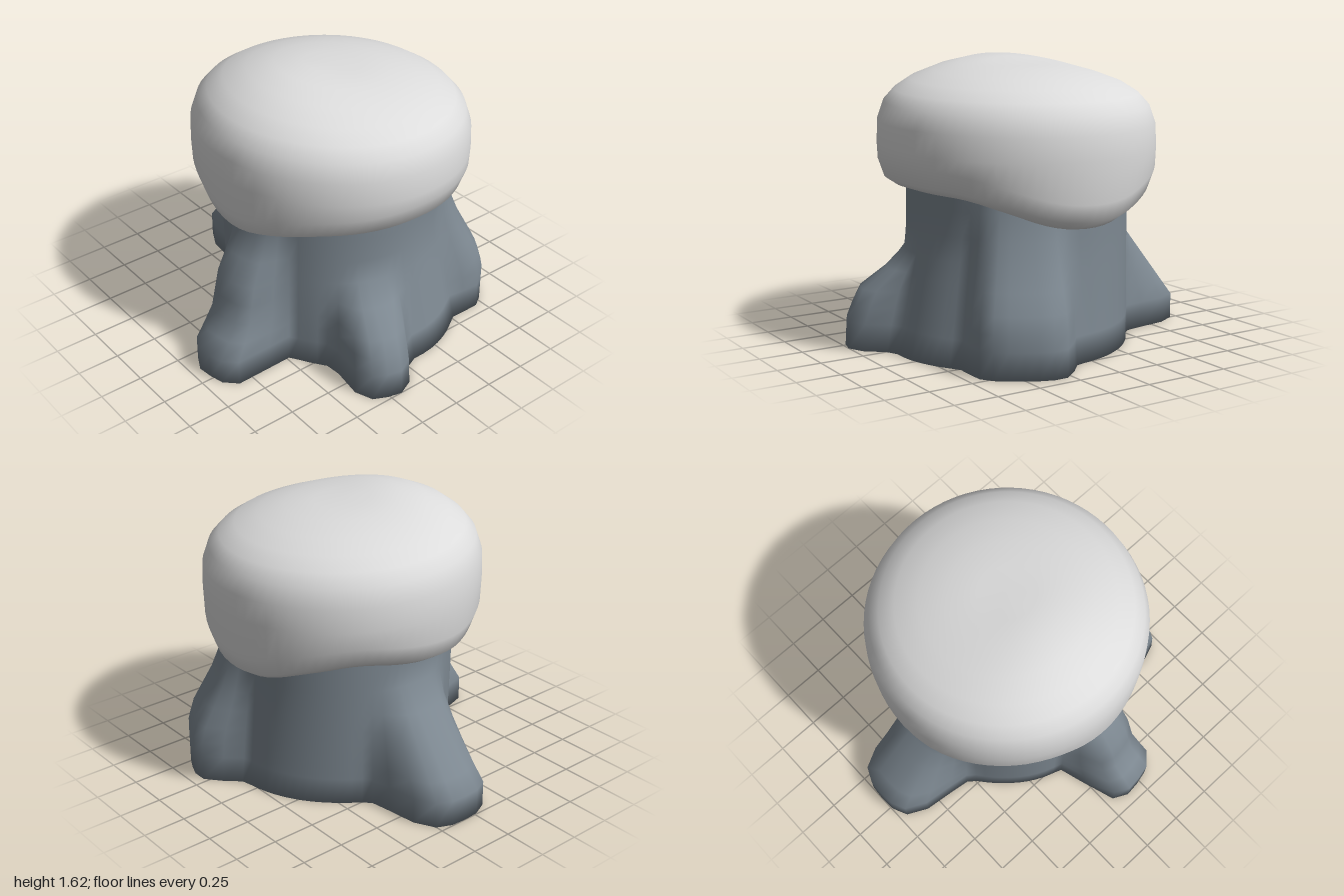
import * as THREE from 'three';

const CX = 0.05, CZ = -0.075, SEG = 72;
const DEG = Math.PI / 180;

// piecewise linear lookup in [[key, value], ...]
function lerpTable(table, k) {
  if (k <= table[0][0]) return table[0][1];
  for (let i = 1; i < table.length; i++) {
    const [k0, v0] = table[i - 1], [k1, v1] = table[i];
    if (k <= k1) return v0 + (v1 - v0) * (k - k0) / (k1 - k0);
  }
  return table[table.length - 1][1];
}

// lookup around the circle, softened over a few degrees
function around(table, a, soft) {
  return [-soft, 0, soft].reduce((t, o) => t + lerpTable(table, (a / DEG + o + 360) % 360) / 3, 0);
}

// smooth skin over closed rings, listed bottom to top; point(row, angle) -> [x, y, z]
function loft(rows, point, bottom, top) {
  const pos = [], idx = [];
  for (let r = 0; r < rows; r++)
    for (let s = 0; s < SEG; s++) pos.push(...point(r, s / SEG * Math.PI * 2));
  for (let r = 0; r < rows - 1; r++)
    for (let s = 0; s < SEG; s++) {
      const a = r * SEG + s, b = r * SEG + (s + 1) % SEG;
      idx.push(a, a + SEG, b, b, a + SEG, b + SEG);
    }
  if (bottom) {
    const c = pos.length / 3;
    pos.push(...bottom);
    for (let s = 0; s < SEG; s++) idx.push(c, s, (s + 1) % SEG);
  }
  if (top) {
    const c = pos.length / 3, last = (rows - 1) * SEG;
    pos.push(...top);
    for (let s = 0; s < SEG; s++) idx.push(last + s, c, last + (s + 1) % SEG);
  }
  const g = new THREE.BufferGeometry();
  g.setAttribute('position', new THREE.Float32BufferAttribute(pos, 3));
  g.setIndex(idx);
  g.computeVertexNormals();
  return g;
}

// roots: direction, angular half width, bluntness, reach at each height
const roots = [
  { angle: 180, width: 0.33, blunt: 4, reach: [[0, 1.05], [0.15, 1.05], [0.67, 0.63]] },
  { angle: 80, width: 0.26, blunt: 5, reach: [[0, 1.02], [0.15, 1.02], [0.32, 0.89], [0.55, 0.83], [0.85, 0.66]] },
  { angle: 20, width: 0.23, blunt: 4, reach: [[0, 0.99], [0.17, 0.98], [0.33, 0.9], [0.47, 0.71], [0.55, 0.63]] },
  { angle: -60, width: 0.36, blunt: 6, reach: [[0, 0.915], [0.28, 0.915], [0.55, 0.77], [0.75, 0.69], [0.95, 0.63]] },
];
// widening of the trunk foot between the roots, by angle in degrees
const flare = [[0, 0.15], [20, 0.1], [48, 0.02], [80, 0], [135, -0.02], [180, 0.03], [220, 0],
  [245, 0.02], [300, 0.1], [330, 0.14], [345, 0.15], [360, 0.15]];
const levels = [0, 0.15, 0.24, 0.33, 0.44, 0.55, 0.68, 0.82, 1.05];

function stumpPoint(row, a) {
  const y = levels[row];
  const base = 0.63 + around(flare, a, 8) * Math.max(0, 1 - y / 0.65);
  let r = base;
  for (const k of roots) {
    const d = a - k.angle * DEG;
    const off = Math.abs(Math.atan2(Math.sin(d), Math.cos(d)));
    const w = Math.exp(-Math.pow(off / k.width, k.blunt));
    r += Math.max(0, lerpTable(k.reach, y) - base) * w;
  }
  return [CX + r * Math.cos(a), y, CZ + r * Math.sin(a)];
}

// wavy lower edge of the snow, by angle in degrees
const rim = [[0, 0.92], [45, 0.9], [62, 0.86], [80, 0.815], [94, 0.835], [112, 0.91], [135, 0.89],
  [165, 0.825], [185, 0.84], [213, 0.885], [237, 0.82], [255, 0.745], [270, 0.73], [287, 0.75],
  [305, 0.83], [325, 0.9], [360, 0.92]];
// cap profile: radius, height, and whether the height is measured from the rim
const cap = [[0.58, 0.09, 1], [0.64, 0.01, 1], [0.69, 0, 1], [0.75, 0.04, 1], [0.785, 0.14, 1],
  [0.79, 1.13], [0.785, 1.26], [0.75, 1.36], [0.69, 1.425], [0.6, 1.48], [0.47, 1.525],
  [0.32, 1.56], [0.16, 1.57]];

// soft mound towards the front of the snow
function mound(x, z) {
  return 0.055 * Math.exp(-((x + 0.03) ** 2 * 4 + (z - 0.33) ** 2 * 8)) + 0.03 * z;
}

function capPoint(row, a) {
  const [r, h, fromRim] = cap[row];
  const x = CX + r * Math.cos(a), z = CZ + r * Math.sin(a);
  return [x, h + (fromRim ? around(rim, a, 6) : mound(x, z)), z];
}

export function createModel() {
  const group = new THREE.Group();
  const bark = new THREE.MeshStandardMaterial({ color: 0x7d8891 });
  bark.name = 'grey bark';
  const snow = new THREE.MeshStandardMaterial({ color: 0xdcdcdc });
  snow.name = 'snow white';

  const stump = new THREE.Mesh(loft(levels.length, stumpPoint, [CX, 0, CZ], null), bark);
  stump.name = 'stumpWithRoots';
  const snowCap = new THREE.Mesh(
    loft(cap.length, capPoint, null, [CX, 1.57 + mound(CX, CZ), CZ]), snow);
  snowCap.name = 'snowCap';
  group.add(stump, snowCap);
  return group;
}
